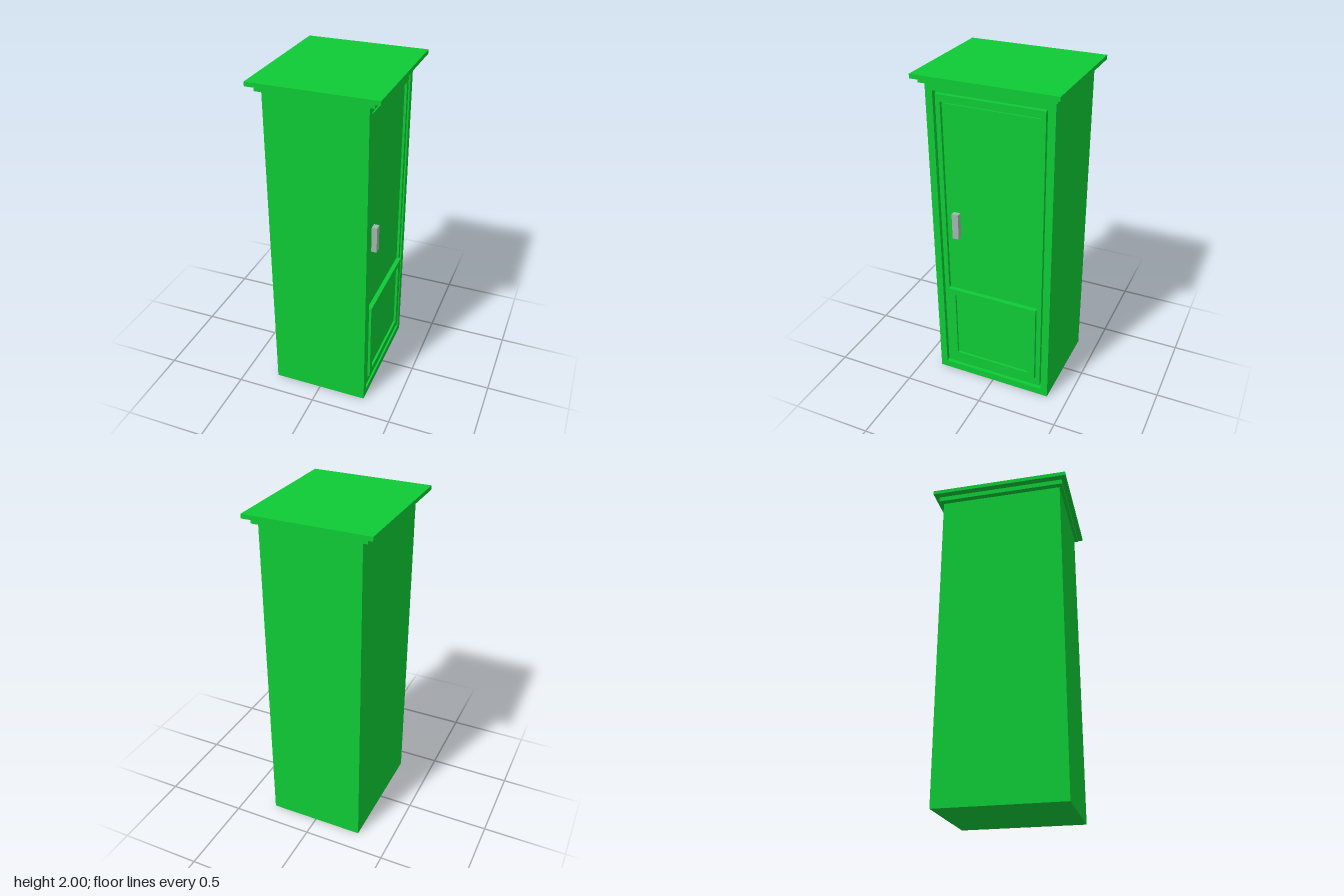
import * as THREE from 'three';

const green = new THREE.MeshStandardMaterial({ color: 0x0ecb35 });
const metal = new THREE.MeshStandardMaterial({ color: 0x9fb8ac });

// Rectangle outline in the door plane: half width and bottom/top heights.
function trace(path, [half, bottom, top]) {
  path.moveTo(-half, bottom);
  path.lineTo(half, bottom);
  path.lineTo(half, top);
  path.lineTo(-half, top);
  path.closePath();
  return path;
}

// Slab facing +x between depths x0 and x1, with an optional rectangular opening.
function slab(name, outer, x0, x1, opening) {
  const shape = trace(new THREE.Shape(), outer);
  if (opening) shape.holes.push(trace(new THREE.Path(), opening));
  const geometry = new THREE.ExtrudeGeometry(shape, { depth: x1 - x0, bevelEnabled: false });
  geometry.rotateY(Math.PI / 2).translate(x0, 0, 0);
  const mesh = new THREE.Mesh(geometry, green);
  mesh.name = name;
  return mesh;
}

function box(name, material, x0, x1, y0, y1, z0, z1) {
  const mesh = new THREE.Mesh(new THREE.BoxGeometry(x1 - x0, y1 - y0, z1 - z0), material);
  mesh.position.set((x0 + x1) / 2, (y0 + y1) / 2, (z0 + z1) / 2);
  mesh.name = name;
  return mesh;
}

export function createModel() {
  const model = new THREE.Group();
  model.name = 'cabinet';

  // Carcass, and the frame around the door opening
  const carcass = [0.373, 0, 1.945];
  const doorway = [0.33, 0.047, 1.9];
  model.add(slab('carcass', carcass, -0.294, 0.264, null));
  model.add(slab('doorSurround', carcass, 0.264, 0.294, doorway));

  // Two-step cornice
  model.add(box('lowerCornice', green, -0.327, 0.327, 1.945, 1.975, -0.393, 0.393));
  model.add(box('topBoard', green, -0.366, 0.366, 1.975, 2, -0.42, 0.42));

  // Door set in the opening with a narrow gap all round
  const door = new THREE.Group();
  door.name = 'door';
  door.add(slab('doorFrame', [0.318, 0.063, 1.882], 0.26, 0.288, [0.29, 0.104, 1.84]));
  door.add(slab('doorPanel', [0.286, 0.115, 1.83], 0.26, 0.275, null));

  // Raised lower panel with a sunken centre
  const centre = [0.243, 0.155, 0.604];
  door.add(slab('lowerPanelFrame', [0.287, 0.115, 0.642], 0.27, 0.302, centre));
  door.add(slab('lowerPanelCentre', centre, 0.27, 0.288, null));

  // Upright handle
  door.add(box('handle', metal, 0.27, 0.307, 1.015, 1.175, 0.2, 0.24));
  model.add(door);

  return model;
}
